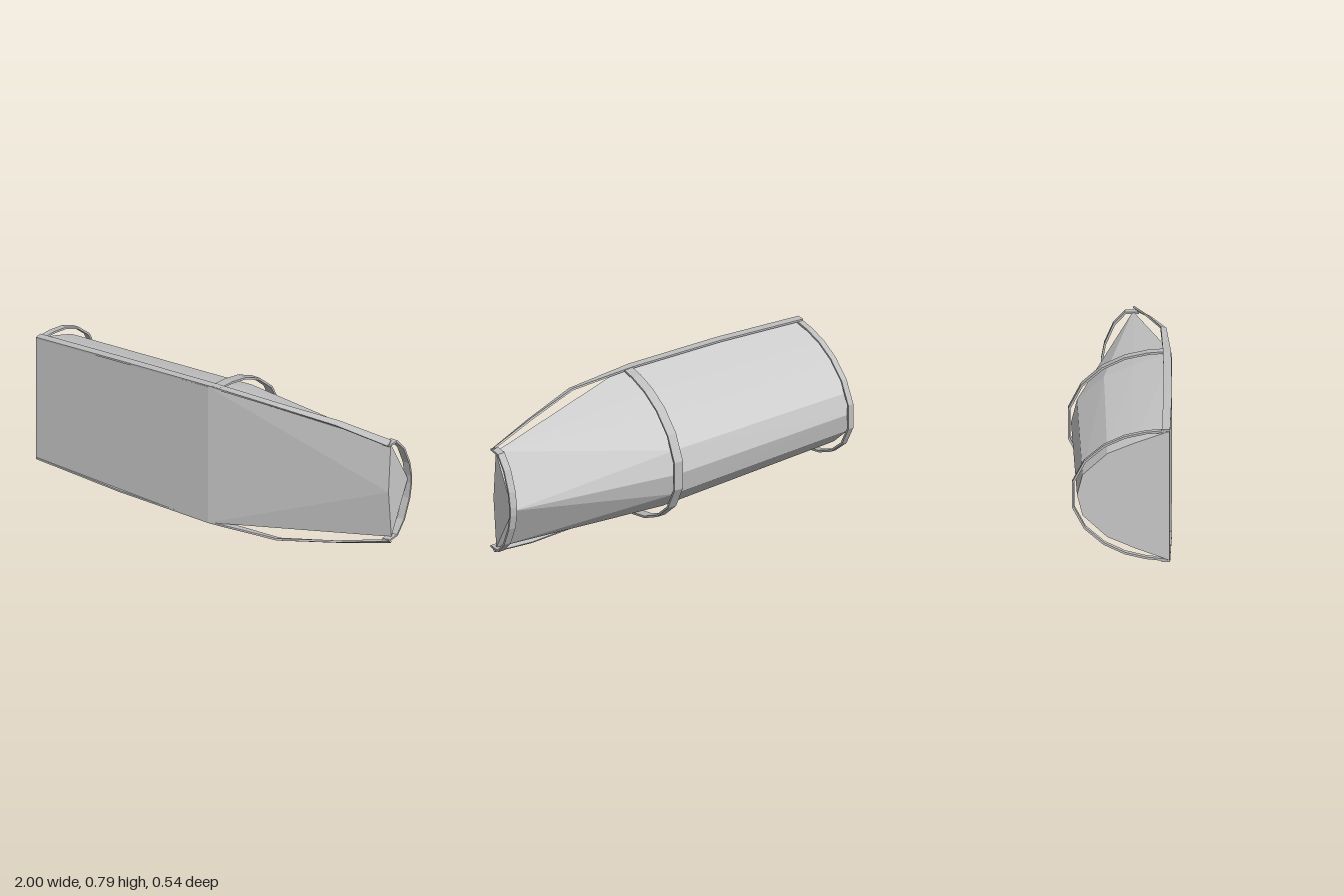
import * as THREE from 'three';
import { ConvexGeometry } from 'three/addons/geometries/ConvexGeometry.js';

const V = (x, y, z) => new THREE.Vector3(x, y, z);
const MID = 0.397; // height of the symmetry plane
const flip = (y) => 2 * MID - y;

// Flat bar along a polyline: half-width vectors w, thickness t on the inner side.
function bar(points, widths, t) {
  const last = points.length - 1;
  const rings = points.map((p, i) => {
    const dir = points[Math.min(i + 1, last)].clone().sub(points[Math.max(i - 1, 0)]);
    const w = widths[i];
    const n = dir.cross(w).normalize().multiplyScalar(t);
    const a = p.clone().sub(w), b = p.clone().add(w);
    return [a, b, b.clone().add(n), a.clone().add(n)];
  });
  const tris = [];
  const quad = (a, b, c, d) => tris.push(a, b, c, a, c, d);
  for (let i = 0; i < last; i++) {
    for (let k = 0; k < 4; k++) {
      const m = (k + 1) % 4;
      quad(rings[i][k], rings[i][m], rings[i + 1][m], rings[i + 1][k]);
    }
  }
  quad(...[...rings[0]].reverse());
  quad(...rings[last]);
  const g = new THREE.BufferGeometry().setFromPoints(tris);
  g.computeVertexNormals();
  return g;
}

// Mirror a half outline of [z, y] points from top to back into a full one.
const full = (half) => [...half, ...[...half].reverse().map(([z, y]) => [z, flip(y)])];

export function createModel() {
  const group = new THREE.Group();
  const shell = new THREE.MeshStandardMaterial({ color: 0xcccccc });
  shell.name = 'shell grey';
  const metal = new THREE.MeshStandardMaterial({ color: 0xbfbfbf });
  metal.name = 'frame grey';
  const add = (name, geometry, material) => {
    const mesh = new THREE.Mesh(geometry, material);
    mesh.name = name;
    group.add(mesh);
  };

  // Body: D-shaped sections with a flat front and a faceted back
  const section = full([[0.25, 0.788], [0.06, 0.716], [-0.09, 0.65], [-0.225, 0.52], [-0.255, MID]]);
  const body = [];
  for (const [z, y] of section) {
    body.push(V(0.03 + (0.25 - z) * 0.1, y, z));
    body.push(V(-1, MID + (y - MID) * 0.873, 0.268 + (z - 0.25) * 0.917));
  }
  body.push(V(0.985, 0.667, 0.03), V(0.985, 0.13, 0.025), V(0.985, MID, 0.05), V(0.985, MID, -0.12));
  add('body', new ConvexGeometry(body), shell);

  // Hoops around the back
  const arch = full([[0.24, 0.793], [0.13, 0.782], [0.015, 0.754], [-0.1, 0.697], [-0.205, 0.602], [-0.27, 0.474]]);
  const hoop = (name, points, half) => add(name, bar(points, points.map(() => V(half, 0, 0)), 0.011), metal);
  hoop('middleHoop', arch.map(([z, y]) => V(0.085 - (z + 0.27) * 0.04, y, z)), 0.025);
  hoop('wideEndHoop', arch.map(([z, y]) => V(-0.985, MID + (y - MID) * 0.873, 0.25 + (z - 0.24) * 0.922)), 0.015);
  const small = full([[0.06, 0.675], [-0.01, 0.672], [-0.07, 0.605], [-0.115, 0.5], [-0.13, 0.42]]);
  hoop('narrowEndHoop', small.map(([z, y]) => V(0.978 - z * 0.05, y, z)), 0.02);

  // Side rails along the upper and lower edges: x, y, z, half-width in z and y
  const rail = [
    [-1, 0.748, 0.249, 0.021, 0], [-0.5, 0.776, 0.245, 0.021, 0], [0.04, 0.793, 0.226, 0.02, 0],
    [0.42, 0.786, 0.198, 0.014, -0.004], [0.72, 0.742, 0.115, 0.014, -0.008], [0.99, 0.682, 0.048, 0.014, -0.012],
  ];
  add('upperRail', bar(rail.map(([x, y, z]) => V(x, y, z)), rail.map((r) => V(0, r[4], r[3])), 0.01), metal);
  add('lowerRail', bar(rail.map(([x, y, z]) => V(x, flip(y), z)), rail.map((r) => V(0, r[4], -r[3])), 0.01), metal);

  return group;
}
